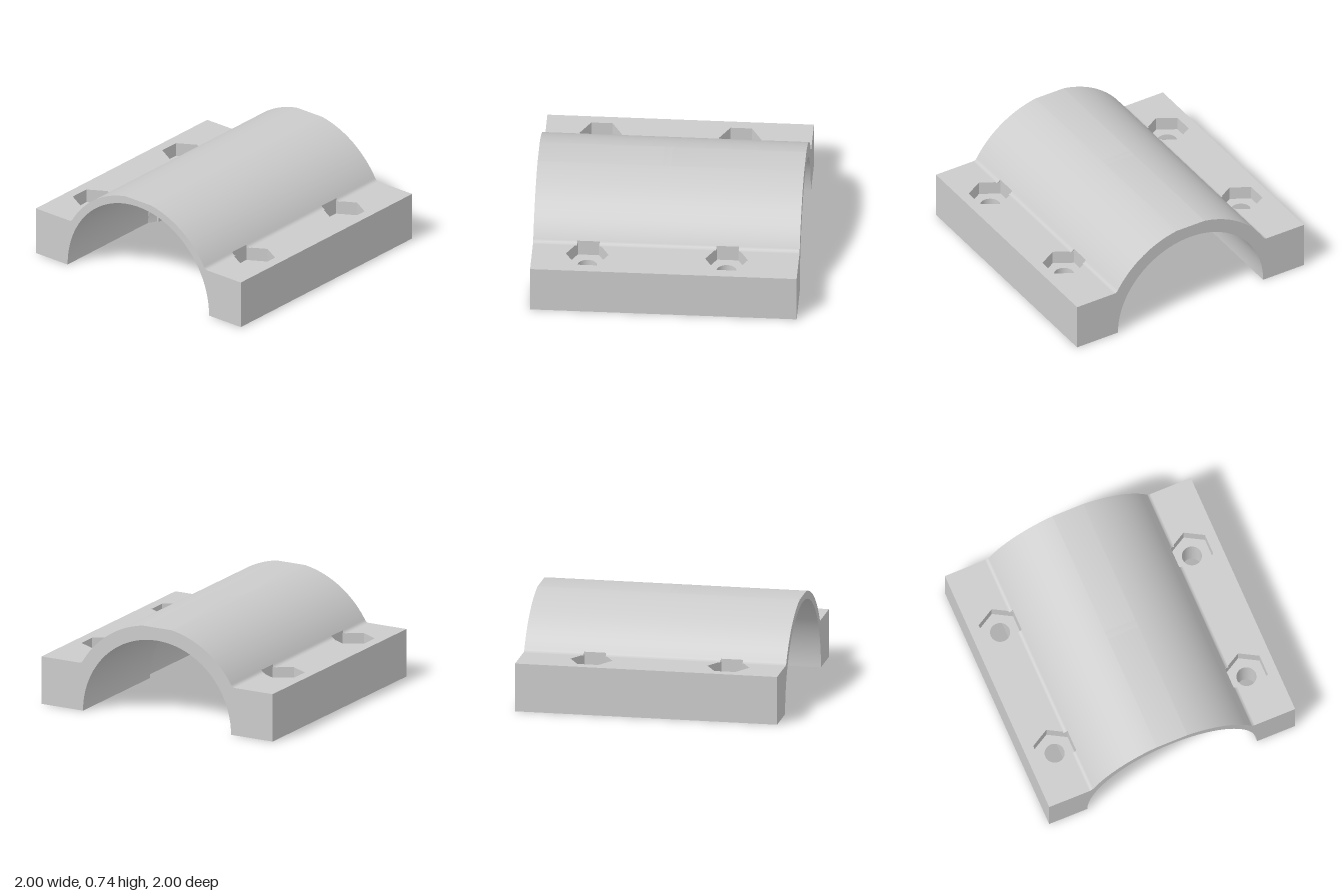
import * as THREE from 'three';
import { toCreasedNormals } from 'three/addons/utils/BufferGeometryUtils.js';

const R = 0.75, TOP = 0.74;            // outer arch radius, flattened crown height
const BORE_FRONT = 0.69, BORE_BACK = 0.64, BORE_STEP = 0.655;
const FLANGE = 0.37, FLOOR = 0.265;    // flange top, nut pocket floor
const WALL = 0.64, SPLIT = 0.7;        // arch side wall, inner edge of the flange base
const BOLT_X = 0.78, BOLT_Z = [-0.46, 0.585], HOLE_R = 0.075;
const HEX_R = 0.16, HEX_FLAT = 0.14;

const material = new THREE.MeshStandardMaterial({ color: 0xcccccc });

function addMesh(group, name, geometry) {
  const mesh = new THREE.Mesh(toCreasedNormals(geometry, 0.5), material);
  mesh.name = name;
  group.add(mesh);
}

function extrude(shape, depth) {
  return new THREE.ExtrudeGeometry(shape, { depth, bevelEnabled: false, curveSegments: 64 });
}

// Extrudes a plan drawn as (x, -z) upwards from y0 to y1
function extrudeUp(shape, y0, y1) {
  return extrude(shape, y1 - y0).rotateX(-Math.PI / 2).translate(0, y0, 0);
}

// Length of half pipe whose bore goes from r0 at z0 to r1 at z1
function archSection(z0, z1, r0, r1 = r0) {
  const a = Math.acos(WALL / R), crown = Math.asin(TOP / R);
  const shape = new THREE.Shape();
  shape.moveTo(r0, 0);
  shape.lineTo(SPLIT, 0);
  shape.lineTo(SPLIT, FLOOR);
  shape.lineTo(WALL, FLOOR);
  shape.absarc(0, 0, R, a, crown, false);
  shape.absarc(0, 0, R, Math.PI - crown, Math.PI - a, false);
  shape.lineTo(-WALL, FLOOR);
  shape.lineTo(-SPLIT, FLOOR);
  shape.lineTo(-SPLIT, 0);
  shape.lineTo(-r0, 0);
  shape.absarc(0, 0, r0, Math.PI, 0, true);
  const geometry = extrude(shape, z1 - z0).translate(0, 0, z0);
  if (r1 !== r0) {
    // widen the bore at the front end only
    const p = geometry.attributes.position;
    for (let i = 0; i < p.count; i++) {
      const x = p.getX(i), y = p.getY(i);
      if (p.getZ(i) > z1 - 1e-4 && Math.hypot(x, y) < r0 + 1e-3) {
        p.setXY(i, x * r1 / r0, y * r1 / r0);
      }
    }
  }
  return geometry;
}

// Lower flange layer with round bolt holes
function flangeBase(s) {
  const shape = new THREE.Shape([[SPLIT, -1], [1, -1], [1, 1], [SPLIT, 1]]
    .map(([x, y]) => new THREE.Vector2(s * x, y)));
  for (const z of BOLT_Z) {
    const hole = new THREE.Path();
    hole.absarc(s * BOLT_X, -z, HOLE_R, 0, Math.PI * 2, true);
    shape.holes.push(hole);
  }
  return extrudeUp(shape, 0, FLOOR);
}

// Upper flange layer: hexagonal nut pockets open against the arch wall
function flangeTop(s) {
  const points = [[WALL, -1], [1, -1], [1, 1], [WALL, 1]];
  for (const z of BOLT_Z) {
    const half = HEX_R / 2;
    points.push([WALL, -z + half], [BOLT_X, -z + HEX_R], [BOLT_X + HEX_FLAT, -z + half],
      [BOLT_X + HEX_FLAT, -z - half], [BOLT_X, -z - HEX_R], [WALL, -z - half]);
  }
  const shape = new THREE.Shape(points.map(([x, y]) => new THREE.Vector2(s * x, y)));
  return extrudeUp(shape, FLOOR, FLANGE);
}

// Small fillet between arch and flange
function fillet(s, z0, z1) {
  const shape = new THREE.Shape();
  shape.moveTo(s * WALL, FLANGE);
  shape.lineTo(s * 0.672, FLANGE);
  shape.quadraticCurveTo(s * 0.652, FLANGE, s * WALL, Math.sqrt(R * R - WALL * WALL));
  return new THREE.ExtrudeGeometry(shape, { depth: z1 - z0, bevelEnabled: false, curveSegments: 6 })
    .translate(0, 0, z0);
}

export function createModel() {
  const model = new THREE.Group();
  model.name = 'pipeClampHalf';

  // Arch: narrow bore, chamfered step, wide bore
  addMesh(model, 'archBack', archSection(-1, 0, BORE_BACK));
  addMesh(model, 'archStep', archSection(0, 0.06, BORE_STEP, BORE_FRONT));
  addMesh(model, 'archFront', archSection(0.06, 1, BORE_FRONT));

  // Bolting flanges on both sides
  for (const [s, side] of [[1, 'left'], [-1, 'right']]) {
    const flange = new THREE.Group();
    flange.name = side + 'Flange';
    addMesh(flange, side + 'FlangeBase', flangeBase(s));
    addMesh(flange, side + 'FlangeTop', flangeTop(s));
    // fillet runs interrupted by the nut pockets
    const gap = HEX_R / 2 + 0.005;
    const cuts = [-1, ...BOLT_Z.flatMap((z) => [z - gap, z + gap]), 1];
    for (let i = 0; i < cuts.length; i += 2) {
      addMesh(flange, side + 'Fillet', fillet(s, cuts[i], cuts[i + 1]));
    }
    model.add(flange);
  }
  return model;
}
